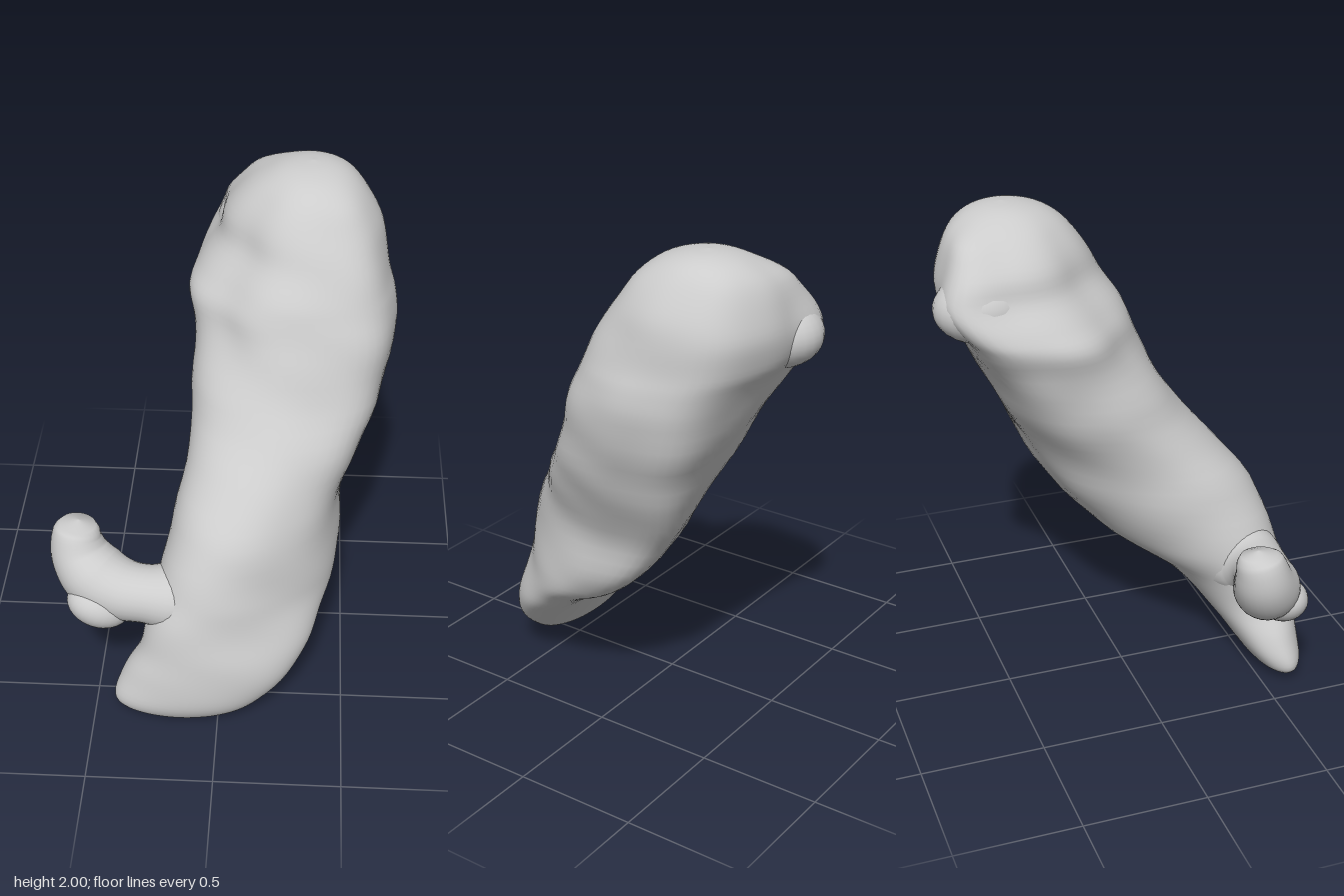
import * as THREE from 'three';

const V = (x, y, z) => new THREE.Vector3(x, y, z);

// Closed loft through rings of points, sharing the seam so normals stay smooth
function loft(rings) {
  const n = rings[0].length, pos = [], index = [];
  rings.forEach(r => r.forEach(p => pos.push(p.x, p.y, p.z)));
  for (let i = 0; i < rings.length - 1; i++) {
    for (let j = 0; j < n; j++) {
      const a = i * n + j, b = i * n + (j + 1) % n;
      index.push(a, a + n, b + n, a, b + n, b);
    }
  }
  const g = new THREE.BufferGeometry();
  g.setAttribute('position', new THREE.Float32BufferAttribute(pos, 3));
  g.setIndex(index);
  g.computeVertexNormals();
  return g;
}

// Gentle organic unevenness
const lump = (x, y, z) =>
  1 + 0.008 * Math.sin(9 * x + 7 * y) * Math.sin(11 * z - 5 * y) + 0.006 * Math.sin(23 * y + 13 * x - 9 * z);

// Horizontal slices of the body: y, xMin, xMax, zMin, zMax
const slices = [
  [0, -0.15, -0.15, 0.62, 0.62],
  [0.01, -0.29, -0.01, 0.56, 0.67],
  [0.04, -0.40, 0.10, 0.515, 0.70],
  [0.1, -0.42, 0.19, 0.47, 0.72],
  [0.2, -0.375, 0.29, 0.40, 0.72],
  [0.3, -0.32, 0.36, 0.32, 0.71],
  [0.4, -0.295, 0.41, 0.21, 0.69],
  [0.5, -0.27, 0.455, 0.05, 0.67],
  [0.6, -0.24, 0.475, -0.06, 0.64],
  [0.8, -0.19, 0.475, -0.21, 0.57],
  [1.0, -0.14, 0.56, -0.33, 0.41],
  [1.2, -0.14, 0.63, -0.44, 0.25],
  [1.4, -0.135, 0.67, -0.54, 0.155],
  [1.52, -0.16, 0.66, -0.60, 0.105],
  [1.6, -0.12, 0.64, -0.65, 0.07],
  [1.7, -0.05, 0.62, -0.67, 0.01],
  [1.8, -0.02, 0.59, -0.65, -0.05],
  [1.9, 0.06, 0.53, -0.61, -0.12],
  [1.96, 0.15, 0.47, -0.54, -0.20],
  [1.99, 0.23, 0.40, -0.46, -0.29],
  [2.0, 0.32, 0.32, -0.38, -0.38],
];

// Section shape by height: y, skew, then fullness of the corners
// front +x, front -x, back -x, back +x
const shapes = [
  [0, 0, 0, 0, 0, 0],
  [0.1, 0.02, 0, 0, 0.05, 0],
  [0.5, 0.48, 0.02, 0, 0, 0.08],
  [0.85, 0.36, 0.06, 0, 0, 0.13],
  [1.2, 0.08, 0.08, 0.02, 0.04, 0.12],
  [1.5, -0.03, 0.09, -0.1, 0.11, 0.07],
  [1.7, -0.1, 0.06, -0.09, 0.26, 0.06],
  [1.88, -0.1, 0.05, -0.06, 0.16, 0.05],
  [2.01, 0, 0, 0, 0, 0],
];

function shapeAt(y) {
  const k = Math.max(1, shapes.findIndex(s => s[0] > y));
  const lo = shapes[k - 1], hi = shapes[k];
  const f = THREE.MathUtils.smoothstep(y, lo[0], hi[0]);
  return lo.map((v, i) => THREE.MathUtils.lerp(v, hi[i], f)).slice(1);
}

function bodyGeometry() {
  const curve = pts => new THREE.CatmullRomCurve3(pts, false, 'catmullrom', 0.5);
  const centres = curve(slices.map(([y, a, b, c, d]) => V((a + b) / 2, y, (c + d) / 2)));
  const radii = curve(slices.map(([, a, b, c, d]) => V((b - a) / 2, 0, (d - c) / 2)));
  const steps = 80, sides = 64, rings = [];
  for (let i = 0; i <= steps; i++) {
    const c = centres.getPoint(i / steps), r = radii.getPoint(i / steps), ring = [];
    const [skew, ...corners] = shapeAt(c.y);
    for (let j = 0; j < sides; j++) {
      const t = j / sides * Math.PI * 2;
      const dx = r.x * Math.cos(t), dz = r.z * Math.sin(t - skew);
      const full = corners[Math.floor(4 * j / sides)] * Math.sin(2 * t) ** 4;
      const k = lump(c.x + dx, c.y, c.z + dz) + full;
      ring.push(V(c.x + dx * k, c.y, c.z + dz * k));
    }
    rings.push(ring);
  }
  return loft(rings);
}

// Tube of changing radius; each row is x, y, z, radius
function tubeGeometry(rows) {
  const path = new THREE.CatmullRomCurve3(rows.map(r => V(r[0], r[1], r[2])));
  const radius = new THREE.CatmullRomCurve3(rows.map(r => V(r[3], 0, 0)), false, 'catmullrom', 0.5);
  const steps = 48, sides = 28, rings = [];
  const frames = path.computeFrenetFrames(steps);
  for (let i = 0; i <= steps; i++) {
    const p = path.getPointAt(i / steps);
    const r = radius.getPoint(path.getUtoTmapping(i / steps)).x * lump(p.x, p.y, p.z);
    const ring = [];
    for (let j = 0; j < sides; j++) {
      const t = j / sides * Math.PI * 2;
      ring.push(p.clone()
        .addScaledVector(frames.normals[i], r * Math.cos(t))
        .addScaledVector(frames.binormals[i], -r * Math.sin(t)));
    }
    rings.push(ring);
  }
  return loft(rings);
}

export function createModel() {
  const group = new THREE.Group();
  const grey = new THREE.MeshStandardMaterial({ color: 0xcccccc });
  grey.name = 'grey tissue';
  const add = (name, geometry) => {
    const mesh = new THREE.Mesh(geometry, grey);
    mesh.name = name;
    group.add(mesh);
    return mesh;
  };
  const blob = (name, p, s, turn) => {
    const mesh = add(name, new THREE.SphereGeometry(1, 28, 20));
    mesh.position.set(...p);
    mesh.scale.set(...s);
    mesh.rotation.z = turn;
  };

  add('body', bodyGeometry());

  // Outlet that leaves the lower side and curls upward
  add('outletTube', tubeGeometry([
    [0.08, 0.46, 0.40, 0.14],
    [-0.10, 0.49, 0.46, 0.16],
    [-0.20, 0.51, 0.495, 0.14],
    [-0.29, 0.52, 0.50, 0.118],
    [-0.40, 0.525, 0.48, 0.125],
    [-0.50, 0.56, 0.44, 0.135],
    [-0.56, 0.63, 0.40, 0.12],
    [-0.575, 0.70, 0.38, 0.103],
    [-0.57, 0.745, 0.37, 0.088],
    [-0.567, 0.77, 0.368, 0.055],
    [-0.565, 0.778, 0.367, 0],
  ]));
  // Flap under the outlet bend
  blob('outletFlap', [-0.48, 0.475, 0.52], [0.13, 0.09, 0.10], -0.35);
  // Knob on the back of the upper dome
  blob('domeKnob', [0.1, 1.66, -0.52], [0.16, 0.14, 0.2], 0);
  return group;
}
